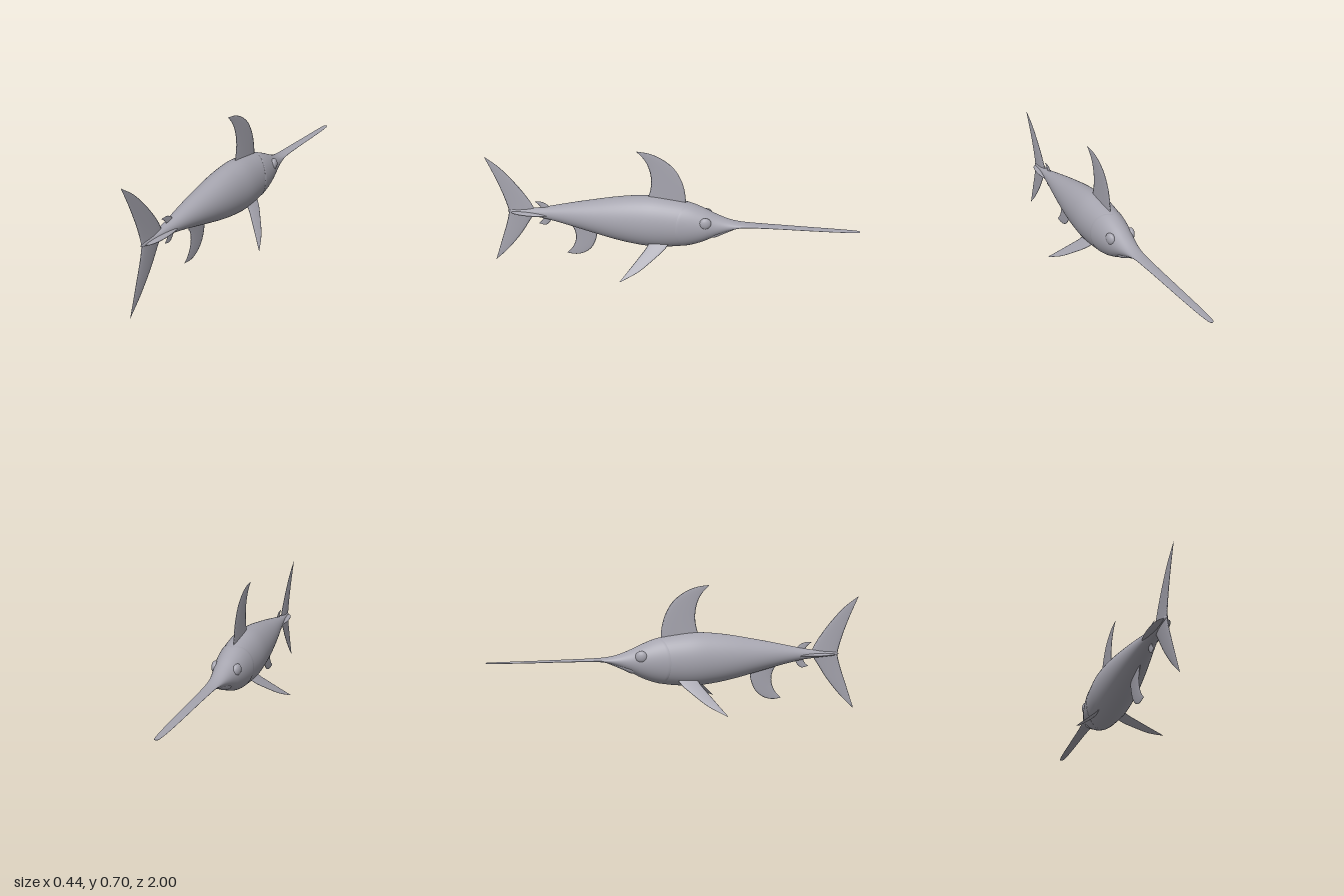
import * as THREE from 'three';

const V = (x, y, z) => new THREE.Vector3(x, y, z);

// Smooth surface of rows x cols, closed around each row
function loft(rows, cols, point) {
  const pos = [], index = [];
  for (let i = 0; i <= rows; i++) {
    for (let j = 0; j < cols; j++) pos.push(...point(i / rows, j / cols).toArray());
  }
  for (let i = 0; i < rows; i++) {
    for (let j = 0; j < cols; j++) {
      const a = i * cols + j, b = i * cols + (j + 1) % cols;
      index.push(a, b, a + cols, b, b + cols, a + cols);
    }
  }
  const g = new THREE.BufferGeometry();
  g.setAttribute('position', new THREE.Float32BufferAttribute(pos, 3));
  g.setIndex(index);
  g.computeVertexNormals();
  return g;
}

// Body sections from bill tip to tail: z, half width, top, bottom
const sections = [
  [-1, 0.001, 0.321, 0.319], [-0.985, 0.012, 0.322, 0.317], [-0.9, 0.019, 0.322, 0.316],
  [-0.75, 0.023, 0.323, 0.315], [-0.6, 0.026, 0.325, 0.315], [-0.48, 0.029, 0.327, 0.313],
  [-0.39, 0.033, 0.331, 0.308], [-0.32, 0.042, 0.344, 0.285], [-0.25, 0.058, 0.37, 0.25],
  [-0.18, 0.076, 0.402, 0.213], [-0.1, 0.09, 0.43, 0.186], [0, 0.1, 0.447, 0.171],
  [0.1, 0.105, 0.456, 0.167], [0.2, 0.101, 0.45, 0.177], [0.3, 0.093, 0.436, 0.196],
  [0.4, 0.081, 0.417, 0.221], [0.5, 0.066, 0.397, 0.247], [0.6, 0.049, 0.375, 0.272],
  [0.7, 0.032, 0.353, 0.292], [0.8, 0.018, 0.338, 0.302], [0.87, 0.01, 0.332, 0.307],
  [0.9, 0.001, 0.321, 0.316],
];
const curve = (pts) => new THREE.CatmullRomCurve3(pts, false, 'catmullrom', 0.5);
const upper = curve(sections.map(([z, w, t]) => V(w, t, z)));
const lower = curve(sections.map(([z, w, , b]) => V(w, b, z)));

function bodyPoint(t, turn, scale = 1) {
  const u = upper.getPoint(t), l = lower.getPoint(t), a = turn * Math.PI * 2;
  return V(Math.cos(a) * u.x * scale,
    (u.y + l.y) / 2 + Math.sin(a) * (u.y - l.y) / 2 * scale, u.z);
}

// Lens-shaped fin between a leading and a trailing edge
function fin(lead, trail, thickness, normal = V(1, 0, 0)) {
  const a = curve(lead), b = curve(trail), cols = 16;
  return loft(24, cols, (s, v) => {
    const ang = v * Math.PI * 2;
    const p = a.getPoint(s).lerp(b.getPoint(s), (1 - Math.cos(ang)) / 2);
    return p.addScaledVector(normal, Math.sin(ang) * thickness * (1 - 0.9 * s));
  });
}
const flat = (pts) => pts.map(([z, y]) => V(0, y, z));

export function createModel() {
  const group = new THREE.Group();
  const grey = new THREE.MeshStandardMaterial({ color: 0xa6a5af, side: THREE.DoubleSide });
  grey.name = 'fish grey';
  const add = (name, geometry) => {
    const mesh = new THREE.Mesh(geometry, grey);
    mesh.name = name;
    group.add(mesh);
    return mesh;
  };

  // Body and bill in one loft
  add('bodyAndBill', loft(126, 48, (s, v) => bodyPoint(s, v)));

  // Gill cover: raised collar that steps down behind a curved edge
  const n = sections.length - 1;
  add('gillCover', loft(14, 64, (s, v) => {
    const side = Math.abs(Math.cos(v * Math.PI * 2));
    const end = 9.95 + 0.65 * side;
    const t = s < 0.93 ? 8.6 + (end - 8.6) * s / 0.93 : end;
    const lift = s < 0.93 ? 0.022 * s * (0.2 + 0.8 * side) : -0.015;
    return bodyPoint(t / n, v, 1 + lift);
  }));

  // Lower jaw, a pointed wedge beneath the bill
  const jaw = curve([V(0.001, 0.303, -0.375), V(0.018, 0.298, -0.34),
    V(0.036, 0.285, -0.29), V(0.046, 0.268, -0.24), V(0.03, 0.265, -0.18)]);
  add('lowerJaw', loft(20, 24, (s, v) => {
    const p = jaw.getPoint(s), a = v * Math.PI * 2;
    return V(Math.cos(a) * p.x, p.y + Math.sin(a) * p.x * 0.55, p.z);
  }));

  // Upright fins on the centre line
  add('dorsalFin', fin(
    flat([[-0.085, 0.4], [-0.083, 0.47], [-0.064, 0.55], [-0.02, 0.625], [0.045, 0.675], [0.11, 0.7], [0.172, 0.708]]),
    flat([[0.14, 0.41], [0.113, 0.46], [0.1, 0.52], [0.102, 0.58], [0.118, 0.635], [0.143, 0.675], [0.174, 0.706]]), 0.007));
  add('analFin', fin(
    flat([[0.4, 0.25], [0.408, 0.185], [0.435, 0.125], [0.48, 0.087], [0.53, 0.073], [0.58, 0.078]]),
    flat([[0.545, 0.26], [0.527, 0.22], [0.524, 0.176], [0.534, 0.14], [0.552, 0.108], [0.58, 0.08]]), 0.006));
  add('upperTailFin', fin(
    flat([[0.74, 0.325], [0.775, 0.396], [0.84, 0.487], [0.92, 0.575], [1, 0.635]]),
    flat([[0.893, 0.315], [0.902, 0.36], [0.922, 0.432], [0.957, 0.53], [1, 0.633]]), 0.008));
  add('lowerTailFin', fin(
    flat([[0.745, 0.32], [0.786, 0.257], [0.84, 0.176], [0.92, 0.08], [1, 0.003]]),
    flat([[0.893, 0.325], [0.9, 0.288], [0.918, 0.23], [0.952, 0.137], [1, 0.005]]), 0.008));
  add('rearDorsalFinlet', fin(
    flat([[0.655, 0.34], [0.667, 0.365], [0.7, 0.385], [0.742, 0.387]]),
    flat([[0.71, 0.335], [0.71, 0.35], [0.722, 0.368], [0.743, 0.385]]), 0.004));
  add('rearAnalFinlet', fin(
    flat([[0.65, 0.3], [0.662, 0.272], [0.69, 0.247], [0.727, 0.253]]),
    flat([[0.7, 0.305], [0.7, 0.29], [0.711, 0.271], [0.728, 0.255]]), 0.004));

  // Paired parts
  for (const [name, m] of [['left', 1], ['right', -1]]) {
    // Pectoral fin sloping down, outward and back
    const slant = (pts) => pts.map(([z, y]) => V(m * (0.075 + (0.203 - y) * 0.95), y, z));
    add(name + 'PectoralFin', fin(
      slant([[-0.01, 0.222], [0.018, 0.187], [0.064, 0.15], [0.144, 0.093], [0.238, 0.048]]),
      slant([[0.105, 0.222], [0.113, 0.195], [0.144, 0.158], [0.188, 0.108], [0.24, 0.05]]),
      0.006, V(m * 0.725, 0.689, 0)));

    // Flat side keel ahead of the tail
    const keel = add(name + 'TailKeel', new THREE.SphereGeometry(1, 24, 16));
    keel.scale.set(0.034, 0.01, 0.125);
    keel.position.set(m * 0.011, 0.317, 0.752);

    // Eye bulge
    const eye = add(name + 'Eye', new THREE.SphereGeometry(0.032, 24, 16));
    eye.scale.x = 0.6;
    eye.position.set(m * 0.06, 0.343, -0.195);
    eye.rotation.y = m * 0.22;
  }
  return group;
}
